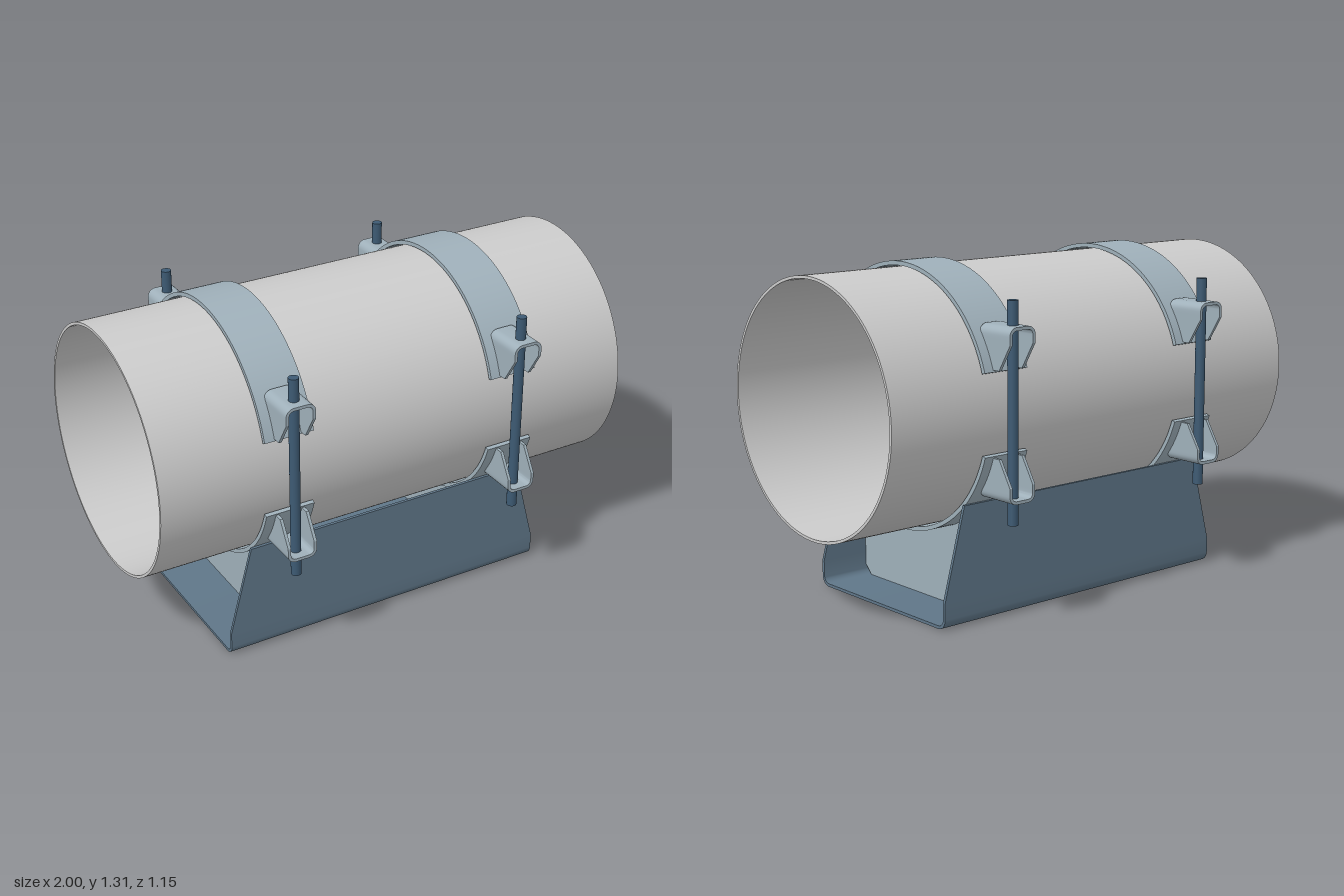
import * as THREE from 'three';
import { toCreasedNormals } from 'three/addons/utils/BufferGeometryUtils.js';

const AXIS_Y = 0.8; // height of the pipe axis
const STRAP_R = 0.51;

const mat = (color) => new THREE.MeshStandardMaterial({ color });
const pipeMat = mat(0xcccccc);
const strapMat = mat(0x9fb0ba);
const saddleMat = mat(0x5f7688);
const rodMat = mat(0x3d5a73);

function add(parent, name, geometry, material) {
  const mesh = new THREE.Mesh(geometry, material);
  mesh.name = name;
  parent.add(mesh);
  return mesh;
}

// Shape in the z-y plane, extruded along x and centred on x = 0
function extrudeX(shape, depth, curveSegments) {
  const g = new THREE.ExtrudeGeometry(shape, { depth, bevelEnabled: false, curveSegments });
  g.translate(0, 0, -depth / 2).rotateY(Math.PI / 2);
  return toCreasedNormals(g, 0.5);
}

// U-shaped path: down one side, round the bottom corner, mirrored up the other
function uPath(halfWidth, base, radius, sideHeights) {
  const half = sideHeights.map((v) => [halfWidth, v]);
  for (let i = 0; i <= 6; i++) {
    const a = (i / 6) * Math.PI / 2;
    half.push([
      halfWidth - radius + radius * Math.cos(a),
      base + radius - radius * Math.sin(a),
    ]);
  }
  return [...half, ...half.map(([u, v]) => [-u, v]).reverse()];
}

// Bent sheet: a U section whose depth range along z depends on height
function foldedPlate(halfWidth, base, radius, thick, sideHeights, near, far) {
  const outer = uPath(halfWidth, base, radius, sideHeights);
  const inner = uPath(halfWidth - thick, base + thick, radius - thick, sideHeights);
  const pos = [], idx = [];
  outer.forEach(([u, v], i) => {
    const [p, q] = inner[i];
    pos.push(u, v, near(v), u, v, far(v), p, q, far(q), p, q, near(q));
  });
  const quad = (a, b, c, d) => idx.push(a, b, c, a, c, d);
  const last = (outer.length - 1) * 4;
  for (let s = 0; s < last; s += 4) {
    for (let k = 0; k < 4; k++) {
      const n = (k + 1) % 4;
      quad(s + k, s + n, s + 4 + n, s + 4 + k);
    }
  }
  quad(0, 3, 2, 1);
  quad(last, last + 1, last + 2, last + 3);
  const g = new THREE.BufferGeometry();
  g.setAttribute('position', new THREE.Float32BufferAttribute(pos, 3));
  g.setIndex(idx);
  return toCreasedNormals(g, 0.5);
}

function pipeGeometry() {
  const ring = new THREE.Shape().absarc(0, 0, 0.488, 0, Math.PI * 2, false);
  ring.holes.push(new THREE.Path().absarc(0, 0, 0.477, 0, Math.PI * 2, true));
  return extrudeX(ring, 2, 80);
}

// Half-round strap over the pipe, centred on the pipe axis
function strapGeometry() {
  const end = Math.asin(0.15 / 0.5);
  const s = new THREE.Shape();
  s.absarc(0, 0, STRAP_R, end, Math.PI - end, false);
  s.absarc(0, 0, 0.494, Math.PI - end, end, true);
  return extrudeX(s, 0.2, 48);
}

// Bolt lug of the lower strap, relative to the pipe axis
function lugGeometry() {
  const heights = [-0.16, -0.185, -0.21, -0.235, -0.257, -0.275];
  const near = (v) => Math.max(0.41, Math.sqrt(STRAP_R ** 2 - v * v) - 0.002);
  const far = (v) => 0.575 - 0.059 * Math.max(0, (v + 0.257) / 0.097);
  return foldedPlate(0.06, -0.32, 0.032, 0.012, heights, near, far);
}

// Channel with sloping ends
function saddleGeometry() {
  const reach = (v) => 0.695 - 0.095 * Math.max(0, (v - 0.1) / 0.355);
  const g = foldedPlate(0.387, 0, 0.04, 0.012, [0.455, 0.1], (v) => -reach(v), reach);
  return g.rotateY(Math.PI / 2);
}

// Cross plate inside the channel, cut out to carry the strap
function ribGeometry() {
  const w = 0.375, b = 0.012, c = 0.036;
  const a = Math.acos(w / STRAP_R);
  const s = new THREE.Shape();
  s.moveTo(-w, b + c);
  s.lineTo(-w + c, b);
  s.lineTo(w - c, b);
  s.lineTo(w, b + c);
  s.absarc(0, AXIS_Y, STRAP_R, -a, -Math.PI + a, true);
  s.closePath();
  return extrudeX(s, 0.014, 32);
}

export function createModel() {
  const model = new THREE.Group();
  model.name = 'pipeSupport';

  add(model, 'pipe', pipeGeometry(), pipeMat).position.y = AXIS_Y;
  add(model, 'saddle', saddleGeometry(), saddleMat);

  const strap = strapGeometry();
  const lug = lugGeometry();
  const rib = ribGeometry();
  const rod = new THREE.CylinderGeometry(0.02, 0.02, 0.82, 20);

  for (const x of [-0.485, 0.485]) {
    add(model, 'crossPlate', rib, strapMat).position.x = x;

    const clamp = new THREE.Group();
    clamp.name = 'clamp';
    clamp.position.set(x, AXIS_Y, 0);
    model.add(clamp);

    // Lower half as built, upper half turned over about the pipe axis
    for (const [name, turn] of [['lower', Math.PI], ['upper', 0]]) {
      const half = new THREE.Group();
      half.name = name + 'ClampHalf';
      half.rotation.x = turn;
      clamp.add(half);
      add(half, 'strap', strap, strapMat);
      for (const yaw of [0, Math.PI]) {
        const l = add(half, 'boltLug', lug, strapMat);
        l.rotation.set(Math.PI, yaw, 0);
      }
    }

    // Threaded rods joining the halves
    for (const z of [-0.522, 0.522]) {
      add(clamp, 'rod', rod, rodMat).position.z = z;
    }
  }
  return model;
}
